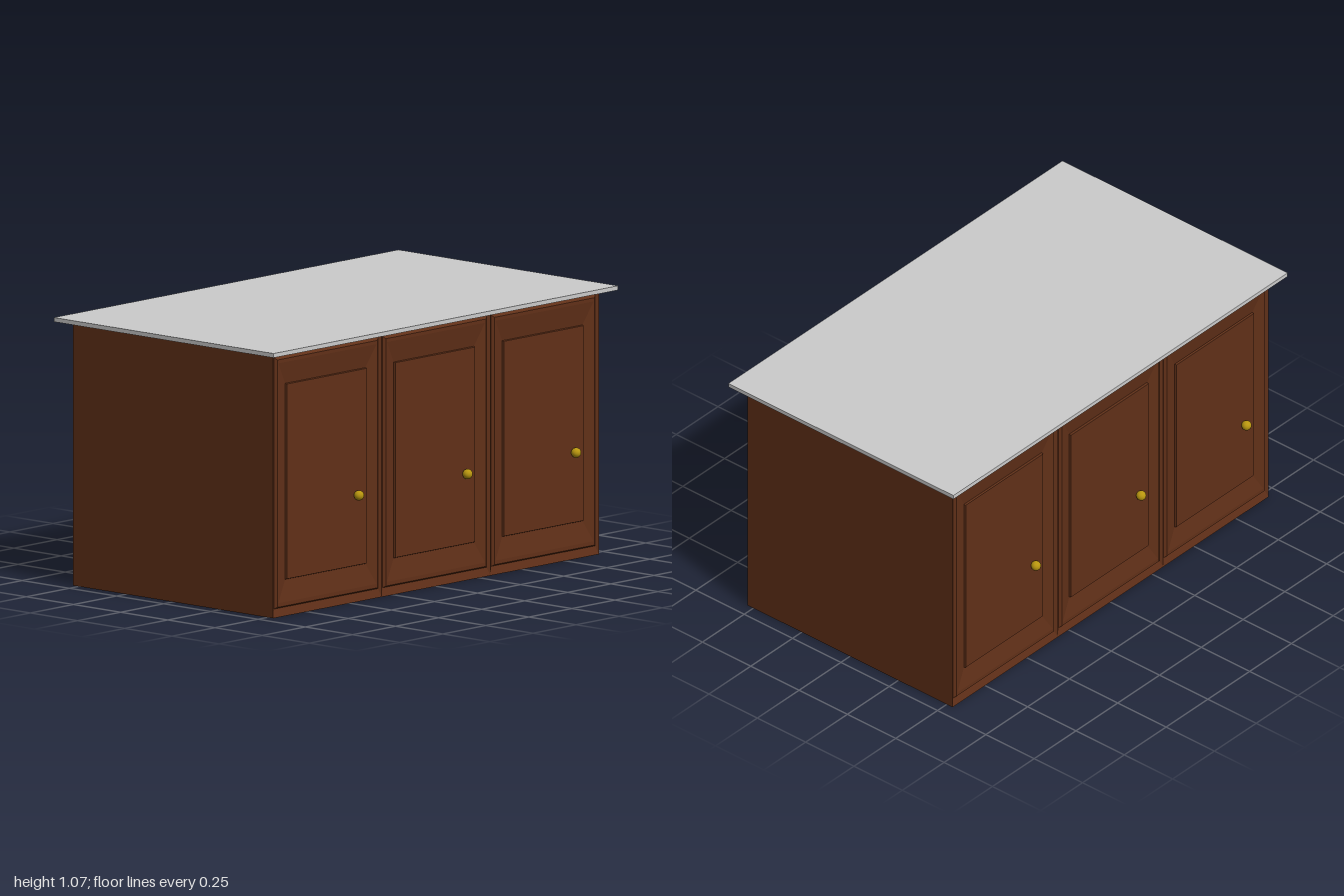
import * as THREE from 'three';

const HEIGHT = 1.05, FACE = 0.53, DOOR = 0.63, START = 0.945;

// Nested rectangles of a panelled door: side inset, bottom, top, depth from the face
const RINGS = [
  [0, 0, HEIGHT, -0.02],
  [0, 0, HEIGHT, 0],
  [0.013, 0.034, 1.034, -0.008],
  [0.024, 0.04, 1.024, 0],
  [0.03, 0.056, 1.01, 0],
  [0.082, 0.142, 0.922, -0.012],
  [0.084, 0.145, 0.92, -0.004],
];

// Door facing +x, running from z = 0 towards -z
function doorGeometry() {
  const corners = RINGS.map(([inset, low, high, depth]) => {
    const near = -inset, far = inset - DOOR;
    return [[depth, low, near], [depth, low, far], [depth, high, far], [depth, high, near]];
  });
  const points = [];
  const quad = (a, b, c, d) => points.push(...a, ...b, ...c, ...a, ...c, ...d);
  for (let r = 0; r < corners.length - 1; r++) {
    for (let k = 0; k < 4; k++) {
      const n = (k + 1) % 4;
      quad(corners[r][k], corners[r][n], corners[r + 1][n], corners[r + 1][k]);
    }
  }
  quad(...corners[corners.length - 1]);
  const geometry = new THREE.BufferGeometry();
  geometry.setAttribute('position', new THREE.Float32BufferAttribute(points, 3));
  geometry.computeVertexNormals();
  return geometry;
}

export function createModel() {
  const wood = new THREE.MeshStandardMaterial({ color: 0x613018 });
  const brass = new THREE.MeshStandardMaterial({ color: 0xb8960f });
  const stone = new THREE.MeshStandardMaterial({ color: 0xcccccc });
  const model = new THREE.Group();
  model.name = 'kitchenIsland';

  const add = (parent, name, geometry, material, x, y, z) => {
    const mesh = new THREE.Mesh(geometry, material);
    mesh.name = name;
    mesh.position.set(x, y, z);
    parent.add(mesh);
  };

  // Worktop
  add(model, 'worktop', new THREE.BoxGeometry(1.165, 0.017, 2), stone, 0, HEIGHT + 0.0085, 0);

  // Two cabinet runs, back to back
  const door = doorGeometry();
  const knob = new THREE.SphereGeometry(0.02, 20, 14);
  const core = FACE - 0.02;
  for (let side = 0; side < 2; side++) {
    const run = new THREE.Group();
    run.name = side ? 'leftOrRearCabinetRun'.replace('leftOrRear', 'right') : 'leftCabinetRun';
    add(run, 'carcass', new THREE.BoxGeometry(core, HEIGHT, DOOR * 3), wood, core / 2, HEIGHT / 2, 0);
    for (let i = 0; i < 3; i++) {
      const z = START - DOOR * i;
      add(run, 'door', door, wood, FACE, 0, z);
      add(run, 'knob', knob, brass, FACE + 0.012, 0.425, z - 0.485);
    }
    run.rotation.y = side * Math.PI;
    model.add(run);
  }
  return model;
}
